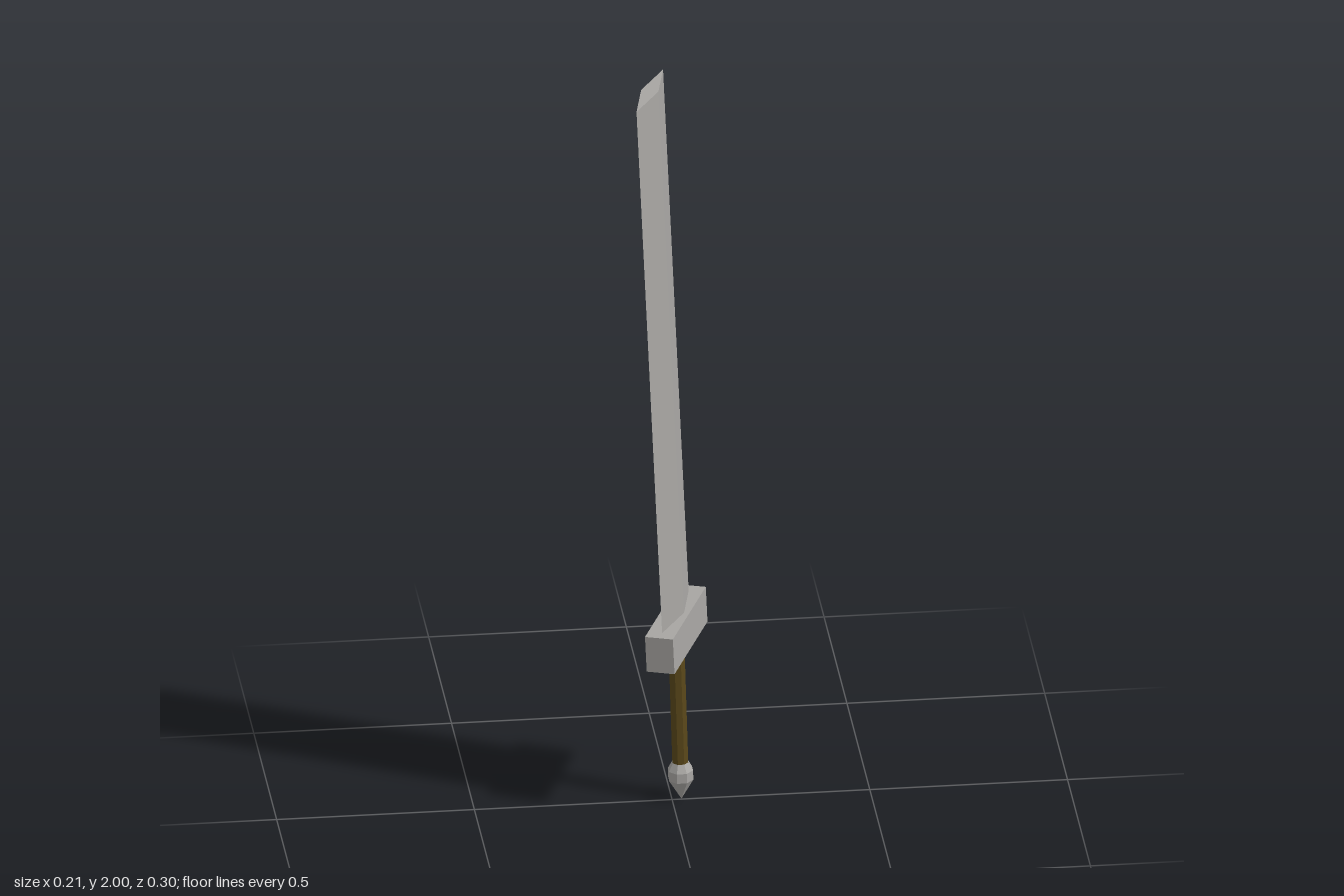
import * as THREE from 'three';

const steel = new THREE.MeshStandardMaterial({ color: 0xa8a6a3, flatShading: true });
steel.name = 'steel grey';
const leather = new THREE.MeshStandardMaterial({ color: 0x5a481a, flatShading: true });
leather.name = 'grip brown';

// Group whose local y runs along the given axis and whose local z follows the blade width
function tiltedGroup(name, origin, axis) {
  const y = new THREE.Vector3(...axis).normalize();
  const x = new THREE.Vector3().crossVectors(y, new THREE.Vector3(-0.39, 0, 0.92)).normalize();
  const z = new THREE.Vector3().crossVectors(x, y);
  const group = new THREE.Group();
  group.name = name;
  group.quaternion.setFromRotationMatrix(new THREE.Matrix4().makeBasis(x, y, z));
  group.position.set(...origin);
  return group;
}

function addPart(parent, name, geometry, material, y) {
  const mesh = new THREE.Mesh(geometry, material);
  mesh.name = name;
  mesh.position.y = y;
  parent.add(mesh);
}

export function createModel() {
  const model = new THREE.Group();
  model.name = 'sword';

  // Blade and crossguard, centred on the guard
  const upper = tiltedGroup('bladeAndGuard', [0.0105, 0.475, 0], [-0.046, 1, 0.0172]);
  const blade = new THREE.CylinderGeometry(1, 1, 1.522, 4);
  blade.scale(0.0226, 1, 0.119); // flat diamond section
  addPart(upper, 'blade', blade, steel, 0.761);
  addPart(upper, 'crossguard', new THREE.BoxGeometry(0.073, 0.098, 0.295), steel, 0);
  model.add(upper);

  // Grip and pointed pommel, measured up from the pommel tip
  const lower = tiltedGroup('hilt', [0.024, 0, -0.003], [-0.03, 1, 0.008]);
  addPart(lower, 'grip', new THREE.CylinderGeometry(0.021, 0.021, 0.36, 8), leather, 0.27);
  const profile = [[0, 0], [0.033, 0.057], [0.033, 0.083], [0.02, 0.106], [0, 0.106]]
    .map(([r, h]) => new THREE.Vector2(r, h));
  addPart(lower, 'pommel', new THREE.LatheGeometry(profile, 8), steel, 0);
  model.add(lower);

  return model;
}
